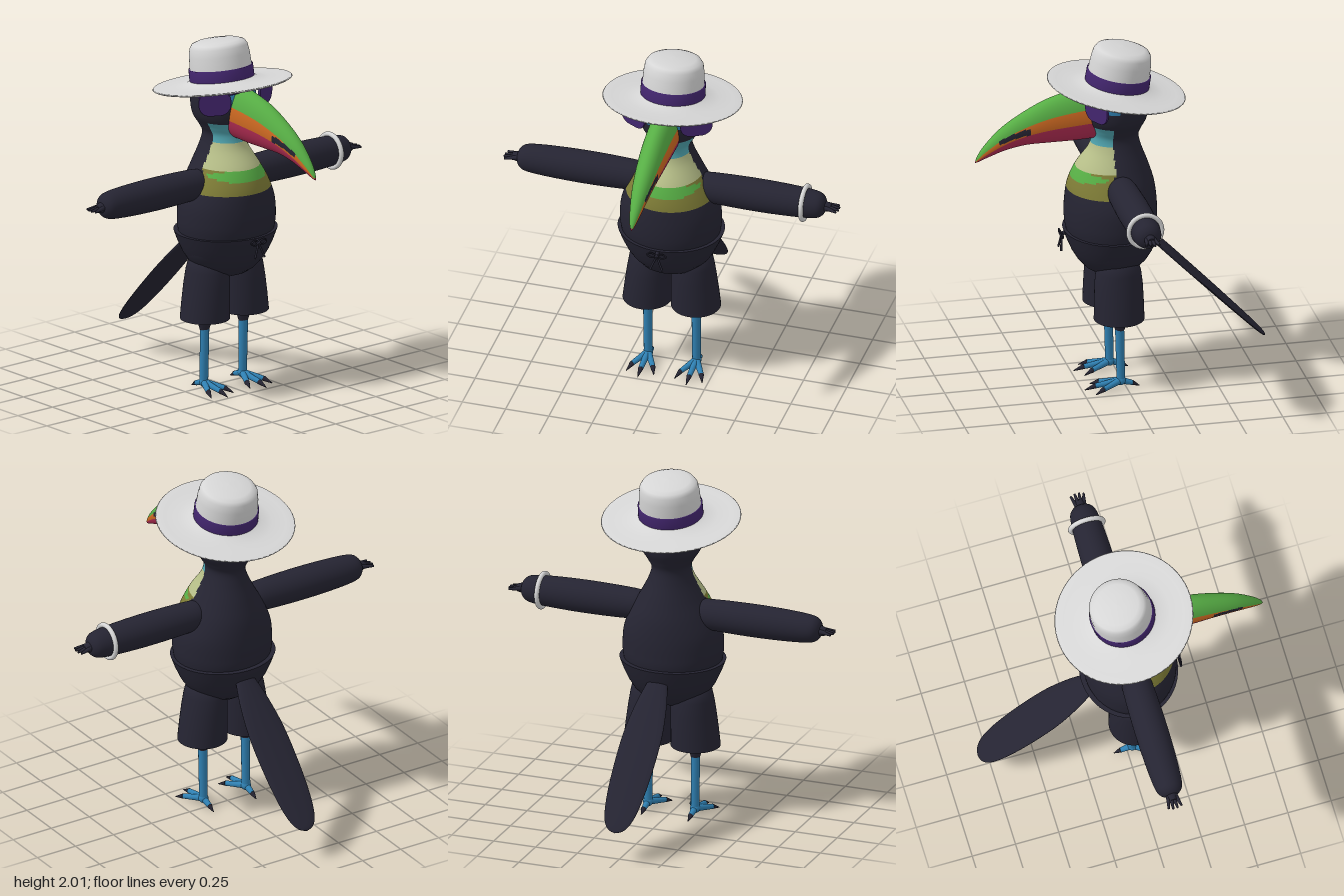
import * as THREE from 'three';

const V = (x, y, z) => new THREE.Vector3(x, y, z);
const X = V(1, 0, 0), Y = V(0, 1, 0), Z = V(0, 0, 1);
const paint = (name, color, side = THREE.FrontSide) => {
  const m = new THREE.MeshStandardMaterial({ color, side });
  m.name = name;
  return m;
};

// Smoothly resample rows of numbers (Catmull-Rom per column)
function smooth(rows, n) {
  const at = i => rows[Math.min(Math.max(i, 0), rows.length - 1)];
  return Array.from({ length: n + 1 }, (_, k) => {
    const t = (k / n) * (rows.length - 1), i = Math.min(Math.floor(t), rows.length - 2), f = t - i;
    return rows[0].map((_, c) => {
      const [a, b, d, e] = [at(i - 1)[c], at(i)[c], at(i + 1)[c], at(i + 2)[c]];
      return b + 0.5 * f * (d - a + f * (2 * a - 5 * b + 4 * d - e + f * (3 * (b - d) + e - a)));
    });
  });
}

// Closed ellipse around c; u x v points along the loft
function ellipse(c, u, v, n = 40) {
  return Array.from({ length: n }, (_, j) => {
    const a = (j / n) * Math.PI * 2;
    return c.clone().addScaledVector(u, Math.cos(a)).addScaledVector(v, Math.sin(a));
  });
}

// Skin over rings; pick(centre, along, around) gives the material index of each quad
function skin(name, rings, mats, pick = () => 0) {
  const n = rings[0].length, list = [].concat(mats), faces = list.map(() => []);
  for (let i = 0; i < rings.length - 1; i++) for (let j = 0; j < n; j++) {
    const k = (j + 1) % n, a = i * n + j, b = i * n + k, c = b + n, d = a + n;
    const mid = V(0, 0, 0).add(rings[i][j]).add(rings[i][k]).add(rings[i + 1][j]).add(rings[i + 1][k]).divideScalar(4);
    faces[pick(mid, (i + 0.5) / (rings.length - 1), (j + 0.5) / n)].push(a, b, c, a, c, d);
  }
  const g = new THREE.BufferGeometry().setFromPoints(rings.flat());
  g.setIndex(faces.flat());
  let start = 0;
  faces.forEach((f, i) => { g.addGroup(start, f.length, i); start += f.length; });
  g.computeVertexNormals();
  const mesh = new THREE.Mesh(g, list.length > 1 ? list : list[0]);
  mesh.name = name;
  return mesh;
}

// Tapered rod between two points
function rod(name, a, b, ra, rb, mat) {
  const d = b.clone().sub(a);
  const m = new THREE.Mesh(new THREE.CylinderGeometry(rb, ra, d.length(), 14), mat);
  m.position.copy(a).add(b).multiplyScalar(0.5);
  m.quaternion.setFromUnitVectors(Y, d.normalize());
  m.name = name;
  return m;
}

export function createModel() {
  const model = new THREE.Group();
  model.name = 'bird';
  const dark = paint('dark feathers', 0x252432), white = paint('hat white', 0xd6d6d6);
  const cream = paint('cream', 0xb6be88), olive = paint('olive', 0x7d7b36), green = paint('green', 0x57ae45);
  const orange = paint('orange', 0xcf6a22), red = paint('red', 0xb02c52), cyan = paint('cyan', 0x4fa3ae);
  const blue = paint('leg blue', 0x2f80b2), purple = paint('purple', 0x43266f);
  const add = (...m) => model.add(...m);

  // Body and head: y, half width, back z, front z
  const body = smooth([
    [0.7, 0.18, -0.1, 0.2], [0.8, 0.25, -0.16, 0.27], [0.92, 0.278, -0.195, 0.305], [1.0, 0.285, -0.2, 0.315],
    [1.1, 0.275, -0.197, 0.312], [1.2, 0.235, -0.183, 0.297], [1.3, 0.18, -0.152, 0.255], [1.4, 0.127, -0.115, 0.185],
    [1.47, 0.108, -0.1, 0.165], [1.52, 0.13, -0.117, 0.175], [1.58, 0.167, -0.145, 0.2], [1.65, 0.18, -0.157, 0.213],
    [1.72, 0.178, -0.153, 0.21], [1.79, 0.16, -0.135, 0.185], [1.85, 0.09, -0.07, 0.11], [1.86, 0, 0.02, 0.02],
  ], 150).map(([y, w, b, f]) => ellipse(V(0, y, (b + f) / 2), V(0, 0, (f - b) / 2), V(w, 0, 0), 96));
  add(skin('body', body, [dark, blue, cyan, cream, olive, green], p => {
    const { x, y, z } = p;
    if (z < 0.035) return 0;
    if (y > 1.66 && y < 1.735) return 1;
    if (z < 0.065 || y > 1.555) return 0;
    if (y > 1.435) return 2;
    if (y > 1.3) return 3;
    if (y < 1.17 || z < 0.07 + (1.3 - y) * 0.4) return 0;
    return z > 0.1 && (x / 0.19) ** 2 + ((y - 1.27) / 0.034) ** 2 < 1 ? 5 : 4;
  }));

  // Beak: top z, top y, bottom z, bottom y, half width
  const beak = smooth([
    [0.16, 1.775, 0.15, 1.465, 0.085], [0.28, 1.755, 0.27, 1.46, 0.08], [0.42, 1.715, 0.41, 1.46, 0.073],
    [0.56, 1.645, 0.54, 1.458, 0.062], [0.68, 1.565, 0.65, 1.438, 0.048], [0.77, 1.475, 0.745, 1.405, 0.03],
    [0.815, 1.41, 0.805, 1.38, 0.014], [0.828, 1.373, 0.828, 1.373, 0],
  ], 70).map(([tz, ty, bz, by, w]) =>
    ellipse(V(0, (ty + by) / 2, (tz + bz) / 2), V(w, 0, 0), V(0, (ty - by) / 2, (tz - bz) / 2), 80));
  add(skin('beak', beak, [green, orange, red, dark], (p, t, a) => {
    const h = Math.sin(a * Math.PI * 2);
    if (t > 0.93) return 2;
    const slope = (p.z - 0.61) * 1.2;
    if (p.z > 0.52 && p.z < 0.7 && h > -0.12 + slope && h < 0.27 + slope) return 3;
    return h > 0.31 ? 0 : h > -0.27 ? 1 : 2;
  }));

  // Shorts: seat with a sharp waist rim, then two legs
  const seat = [[0.645, 0], [0.65, 0.06], [0.67, 0.12], [0.7, 0.17], [0.75, 0.218], [0.8, 0.25], [0.86, 0.278],
    [0.92, 0.3], [0.92, 0.3], [0.92, 0.265], [0.92, 0.265], [0.86, 0.25]];
  add(skin('shortsSeat', seat.map(([y, r]) => ellipse(V(0, y, 0.05), V(0, 0, r * 0.91), V(r, 0, 0), 64)), dark));
  for (const s of [1, -1]) {
    // y, centre x, x radius, z radius
    const leg = [[0.45, 0.14, 0.115, 0.115], [0.42, 0.14, 0.135, 0.135], [0.42, 0.14, 0.139, 0.141], [0.42, 0.14, 0.139, 0.141],
      [0.52, 0.134, 0.133, 0.139], [0.62, 0.127, 0.126, 0.135], [0.7, 0.12, 0.12, 0.127], [0.75, 0.118, 0.112, 0.112],
      [0.78, 0.115, 0.08, 0.075], [0.785, 0.115, 0, 0]];
    add(skin('shortsLeg', leg.map(([y, x, rx, rz]) => ellipse(V(s * x, y, 0.04), V(0, 0, rz), V(rx, 0, 0))), dark));
    const cuff = new THREE.Mesh(new THREE.CircleGeometry(0.12, 32).rotateX(Math.PI / 2), dark);
    cuff.position.set(s * 0.14, 0.45, 0.04);
    cuff.name = 'shortsLining';
    add(cuff, rod('thigh', V(s * 0.14, 0.47, 0.04), V(s * 0.14, 0.35, 0.035), 0.062, 0.026, dark));

    // Shin, toes and claws
    const ankle = V(s * 0.14, 0.045, 0.03);
    add(rod('shin', V(s * 0.14, 0.36, 0.037), ankle, 0.026, 0.024, blue));
    const ball = new THREE.Mesh(new THREE.SphereGeometry(0.028, 16, 12), blue);
    ball.position.copy(ankle);
    ball.name = 'ankle';
    add(ball);
    for (const [dx, z, cx, cz] of [[0, 0.175, 0, 0.235], [0.06, 0.14, 0.08, 0.19], [-0.06, 0.14, -0.08, 0.19], [0, -0.035, 0, -0.075]]) {
      const tip = V(s * 0.14 + dx, 0.024, z);
      add(rod('toe', ankle, tip, 0.02, 0.014, blue));
      add(rod('claw', tip, V(s * 0.14 + cx, 0.004, cz), 0.015, 0.002, dark));
    }
  }

  // Drawstring bow
  for (const s of [1, -1]) {
    const bow = new THREE.CatmullRomCurve3([V(0, 0.895, 0.335), V(s * 0.03, 0.915, 0.342), V(s * 0.055, 0.9, 0.338), V(s * 0.03, 0.885, 0.338)], true);
    const loop = new THREE.Mesh(new THREE.TubeGeometry(bow, 24, 0.005, 6, true), dark);
    loop.name = 'bowLoop';
    add(loop, rod('bowEnd', V(0, 0.895, 0.335), V(s * 0.035, 0.81, 0.345), 0.006, 0.006, dark));
  }
  add(rod('bowKnot', V(0, 0.91, 0.31), V(0, 0.89, 0.345), 0.012, 0.012, dark));

  // Tail feather blade
  const root = V(0, 0.84, -0.18), run = V(0, 0.182, -0.822).sub(root), flat = run.clone().normalize().cross(X);
  const blade = smooth([[0, 0.06, 0.022], [0.15, 0.092, 0.021], [0.35, 0.115, 0.018], [0.6, 0.116, 0.015],
    [0.8, 0.103, 0.012], [0.92, 0.08, 0.01], [0.98, 0.045, 0.007], [1, 0, 0]], 40);
  add(skin('tail', blade.map(([t, w, h]) =>
    ellipse(root.clone().addScaledVector(run, t), X.clone().multiplyScalar(w), flat.clone().multiplyScalar(h))), dark));

  // Wing arms with fingers
  const wing = smooth([[0.1, 0.05], [0.18, 0.08], [0.28, 0.088], [0.45, 0.092], [0.6, 0.091], [0.75, 0.085],
    [0.84, 0.075], [0.875, 0.055], [0.89, 0.025], [0.893, 0]], 45);
  for (const s of [1, -1]) {
    const arm = new THREE.Group();
    arm.name = s > 0 ? 'leftArm' : 'rightArm';
    arm.position.set(0, 1.207, 0.037);
    arm.rotation.y = s > 0 ? 0 : Math.PI;
    arm.add(skin('wing', wing.map(([x, r]) => ellipse(V(x, 0, 0), V(0, r, 0), V(0, 0, r))), dark));
    arm.add(rod('palm', V(0.85, 0, 0), V(0.92, -0.005, 0), 0.04, 0.022, dark));
    for (const k of [-1.5, -0.5, 0.5, 1.5])
      arm.add(rod('finger', V(0.89, 0, k * 0.013), V(0.972 - Math.abs(k) * 0.008, -0.007, k * 0.025), 0.014, 0.006, dark));
    if (s > 0) {
      const ring = new THREE.Mesh(new THREE.TorusGeometry(0.094, 0.014, 14, 48).rotateY(Math.PI / 2), white);
      ring.position.x = 0.77;
      ring.name = 'bracelet';
      arm.add(ring);
    }
    add(arm);
  }

  // Sunglasses
  const w = 0.088, h = 0.069, r = 0.06, lensShape = new THREE.Shape();
  [[w - r, h - r, 0], [r - w, h - r, 1], [r - w, r - h, 2], [w - r, r - h, 3]].forEach(([x, y, q]) =>
    lensShape.absarc(x, y, r, q * Math.PI / 2, (q + 1) * Math.PI / 2));
  for (const s of [1, -1]) {
    const lens = new THREE.Mesh(new THREE.ExtrudeGeometry(lensShape,
      { depth: 0.008, bevelSize: 0.004, bevelThickness: 0.004, bevelSegments: 2, curveSegments: 10 }), purple);
    lens.position.set(s * 0.18, 1.702, 0.172);
    lens.rotation.y = s * 0.5;
    lens.name = 'lens';
    add(lens, rod('temple', V(s * 0.25, 1.735, 0.135), V(s * 0.178, 1.74, -0.01), 0.01, 0.008, purple));
  }
  add(rod('glassesBridge', V(-0.12, 1.752, 0.212), V(0.12, 1.752, 0.212), 0.012, 0.012, purple));

  // Hat, tipped back
  const hat = new THREE.Group();
  hat.name = 'hat';
  hat.position.set(0, 1.745, 0.025);
  hat.rotation.x = -0.168;
  const turn = (name, pts, mat) => {
    const m = new THREE.Mesh(new THREE.LatheGeometry(pts.map(p => new THREE.Vector2(...p)), 64), mat);
    m.name = name;
    hat.add(m);
  };
  turn('brim', [[0, 0.004], [0.17, 0.004], [0.26, -0.008], [0.34, -0.007], [0.38, 0], [0.39, 0.006], [0.385, 0.012],
    [0.34, 0.011], [0.26, 0.014], [0.2, 0.024], [0.17, 0.04]], white);
  turn('crown', [[0.174, 0.02], [0.173, 0.1], [0.169, 0.17], [0.162, 0.215], [0.148, 0.236], [0.12, 0.247], [0.06, 0.254], [0, 0.256]], white);
  turn('hatBand', [[0.172, 0.032], [0.181, 0.032], [0.18, 0.1], [0.171, 0.1]], purple);
  add(hat);
  return model;
}
